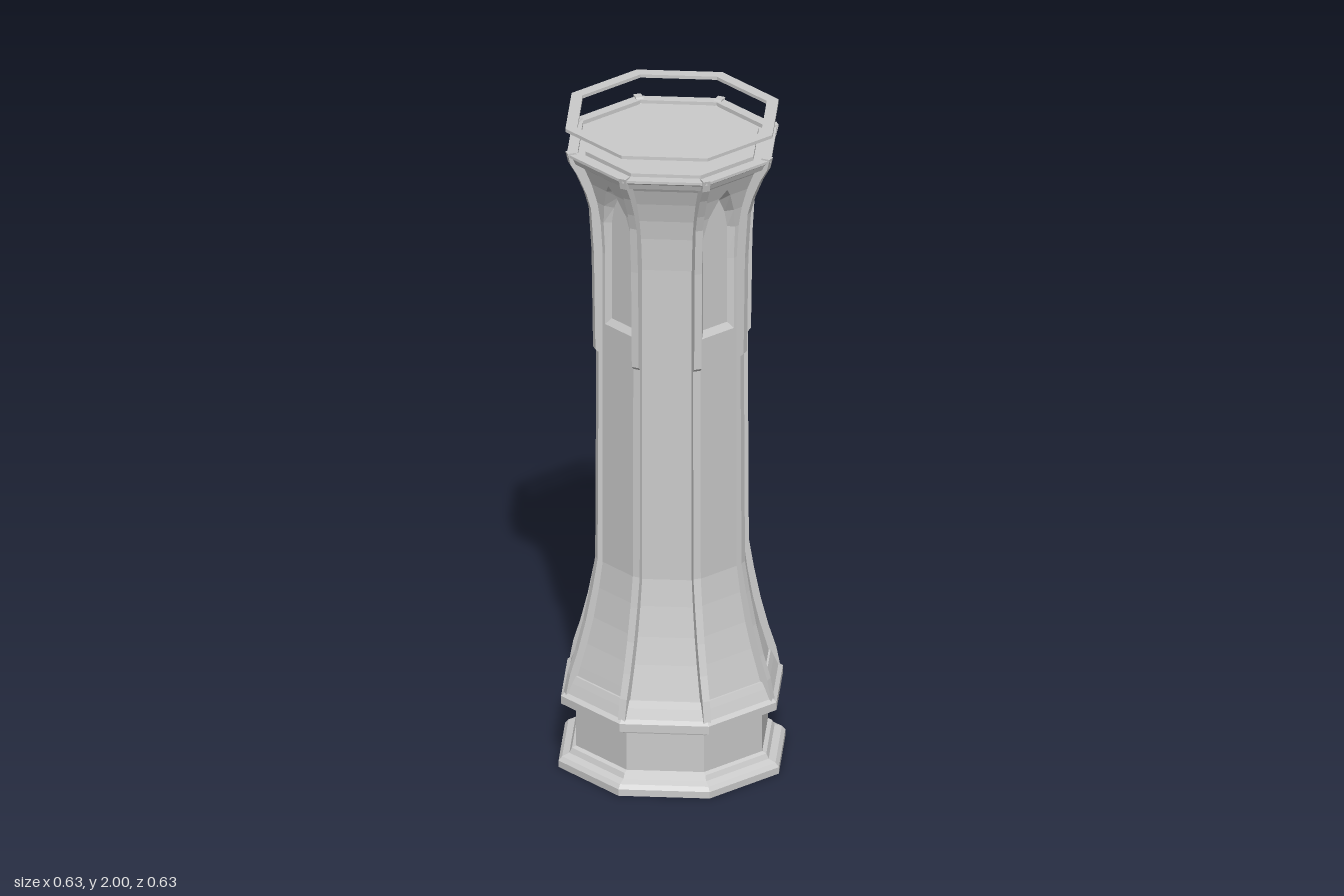
import * as THREE from 'three';

const SIDES = 8;
const HALF = Math.PI / SIDES;
const COS = Math.cos(HALF);
const TAN = Math.tan(HALF);
const mat = new THREE.MeshStandardMaterial({ color: 0xcccccc, flatShading: true, side: THREE.DoubleSide });

function mesh(name, geometry) {
  const m = new THREE.Mesh(geometry, mat);
  m.name = name;
  return m;
}

// Octagonal solid from [apothem, y] pairs, with flat faces toward x and z
function octagon(name, profile) {
  const pts = profile.map(([a, y]) => new THREE.Vector2(a / COS, y));
  const g = new THREE.LatheGeometry(pts, SIDES, HALF).toNonIndexed();
  g.computeVertexNormals();
  return mesh(name, g);
}

// Wall apothem by height
const WALL = [[0.275, 0.26], [0.262, 0.31], [0.243, 0.38], [0.225, 0.46], [0.21, 0.55], [0.2, 0.63],
  [0.2, 1.6], [0.206, 1.7], [0.215, 1.76], [0.231, 1.82], [0.25, 1.87], [0.265, 1.895]];

function wallAt(y) {
  for (let i = 1; i < WALL.length; i++) {
    const [a0, y0] = WALL[i - 1], [a1, y1] = WALL[i];
    if (y <= y1) return a0 + (a1 - a0) * (y - y0) / (y1 - y0);
  }
  return WALL[WALL.length - 1][0];
}

// Window rows: outer height, outer half width, inner height, inner half width
const WINDOW = [[1.38, 0.06, 1.4, 0.045], [1.6, 0.06, 1.6, 0.045], [1.7, 0.06, 1.7, 0.045],
  [1.76, 0.047, 1.75, 0.035], [1.82, 0.02, 1.79, 0.015], [1.845, 0, 1.81, 0]];
const RECESS = 0.188;

function quadBuilder() {
  const pos = [];
  return {
    quad(a, b, c, d) { pos.push(...a, ...b, ...c, ...a, ...c, ...d); },
    geometry() {
      const g = new THREE.BufferGeometry();
      g.setAttribute('position', new THREE.Float32BufferAttribute(pos, 3));
      g.computeVertexNormals();
      return g;
    },
  };
}

// One wall face toward +z, optionally leaving the pointed opening
function wallGeometry(open) {
  const b = quadBuilder();
  const first = WINDOW[0][0], last = WINDOW[WINDOW.length - 1][0];
  const ys = [...new Set([...WALL.map((p) => p[1]), ...WINDOW.map((r) => r[0])])].sort((p, q) => p - q);
  const hole = (y) => (WINDOW.find((r) => r[0] === y) || [0, 0])[1];
  for (let i = 1; i < ys.length; i++) {
    const y0 = ys[i - 1], y1 = ys[i], z0 = wallAt(y0), z1 = wallAt(y1);
    const w0 = z0 * TAN, w1 = z1 * TAN;
    if (open && y0 >= first && y1 <= last) {
      const h0 = hole(y0), h1 = hole(y1);
      b.quad([h0, y0, z0], [w0, y0, z0], [w1, y1, z1], [h1, y1, z1]);
      b.quad([-w0, y0, z0], [-h0, y0, z0], [-h1, y1, z1], [-w1, y1, z1]);
    } else {
      b.quad([-w0, y0, z0], [w0, y0, z0], [w1, y1, z1], [-w1, y1, z1]);
    }
  }
  return b.geometry();
}

// Sloped reveal, sill and sunken panel of a window
function windowGeometry() {
  const b = quadBuilder();
  const [sy, sw, iy, iw] = WINDOW[0];
  b.quad([-sw, sy, wallAt(sy)], [sw, sy, wallAt(sy)], [iw, iy, RECESS], [-iw, iy, RECESS]);
  for (let i = 1; i < WINDOW.length; i++) {
    const [y0, h0, v0, k0] = WINDOW[i - 1], [y1, h1, v1, k1] = WINDOW[i];
    const z0 = wallAt(y0), z1 = wallAt(y1);
    b.quad([k0, v0, RECESS], [h0, y0, z0], [h1, y1, z1], [k1, v1, RECESS]);
    b.quad([-h0, y0, z0], [-k0, v0, RECESS], [-k1, v1, RECESS], [-h1, y1, z1]);
    b.quad([-k0, v0, RECESS], [k0, v0, RECESS], [k1, v1, RECESS], [-k1, v1, RECESS]);
  }
  return b.geometry();
}

// Corner rib: side outline following the wall, given a narrow width
function ribGeometry() {
  const outer = [[0.298, 0.225], [0.286, 0.29], [0.265, 0.36], [0.243, 0.45], [0.224, 0.55], [0.21, 0.64],
    [0.207, 1.29], [0.216, 1.3], [0.22, 1.6], [0.228, 1.74], [0.241, 1.79], [0.264, 1.85], [0.285, 1.89], [0.293, 1.925]];
  const inner = WALL.map(([a, y]) => [a - 0.012, y]).reverse();
  const outline = [...outer, [0.27, 1.925], ...inner, [0.26, 0.225]];
  const shape = new THREE.Shape(outline.map(([a, y]) => new THREE.Vector2(a / COS, y)));
  const width = 0.022;
  return new THREE.ExtrudeGeometry(shape, { depth: width, bevelEnabled: false }).translate(0, 0, -width / 2);
}

export function createModel() {
  const model = new THREE.Group();
  model.name = 'octagonalTower';

  // Stepped plinth with a projecting moulding
  model.add(octagon('plinth', [[0, 0], [0.315, 0], [0.315, 0.02], [0.305, 0.032], [0.285, 0.04], [0.278, 0.055],
    [0.266, 0.06], [0.266, 0.178], [0.28, 0.182], [0.284, 0.195], [0.308, 0.198], [0.308, 0.222],
    [0.296, 0.232], [0.284, 0.262], [0.275, 0.282], [0.2, 0.285]]));

  // Walls, with windows on the four main faces
  const plain = wallGeometry(false), pierced = wallGeometry(true);
  const windowGeo = windowGeometry(), ribGeo = ribGeometry();
  for (let i = 0; i < SIDES; i++) {
    const open = i % 2 === 0;
    const wall = mesh('wall', open ? pierced : plain);
    wall.rotation.y = i * 2 * HALF;
    model.add(wall);
    if (open) {
      const win = mesh('window', windowGeo);
      win.rotation.y = i * 2 * HALF;
      model.add(win);
    }
    const rib = mesh('cornerRib', ribGeo);
    rib.rotation.y = (i * 2 + 1) * HALF;
    model.add(rib);
  }

  // Crown moulding and roof deck
  model.add(octagon('crown', [[0.25, 1.885], [0.275, 1.888], [0.282, 1.905], [0.292, 1.912], [0.292, 1.92],
    [0.262, 1.92], [0.262, 1.908], [0.24, 1.908]]));
  model.add(octagon('roofDeck', [[0.24, 1.9], [0.24, 1.92], [0, 1.92]]));

  // Thin ring hovering above the crown
  model.add(octagon('topRing', [[0.263, 1.99], [0.296, 1.99], [0.296, 2], [0.263, 2], [0.263, 1.99]]));
  return model;
}
